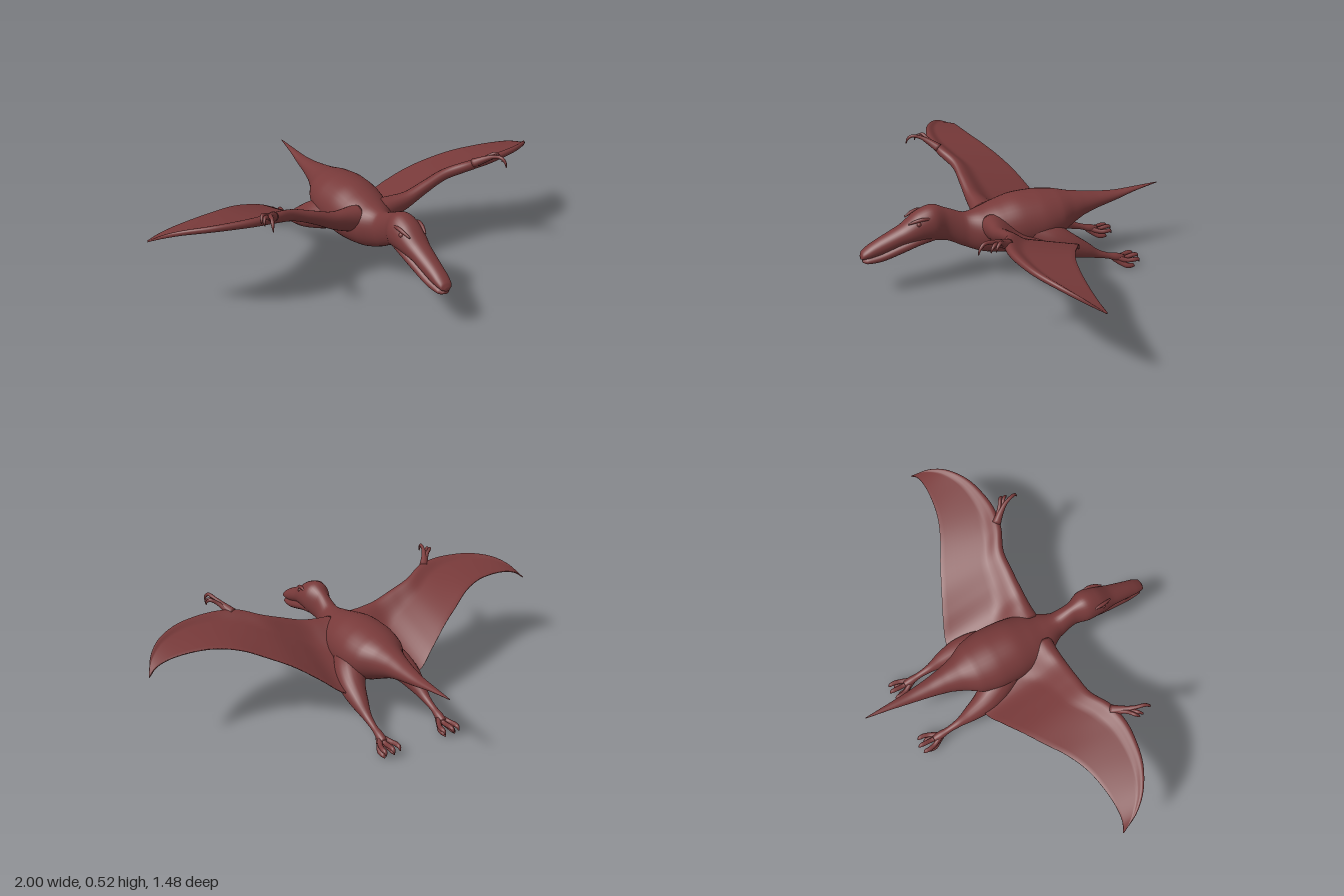
import * as THREE from 'three';

const hide = new THREE.MeshStandardMaterial({ color: 0x783a3a });
hide.name = 'russet hide';

const V = (x, y, z) => new THREE.Vector3(x, y, z);
const curve = (pts) => new THREE.CatmullRomCurve3(pts);

// Skin a closed surface over rings of points; side = -1 mirrors it in x.
function loft(name, rings, side = 1) {
  const n = rings[0].length, pos = [], idx = [];
  const put = (v) => pos.push(v.x * side, v.y, v.z);
  const tri = (a, b, c) => (side > 0 ? idx.push(a, b, c) : idx.push(a, c, b));
  rings.forEach((r) => r.forEach(put));
  for (let i = 0; i < rings.length - 1; i++) {
    for (let j = 0; j < n; j++) {
      const a = i * n + j, b = i * n + (j + 1) % n;
      tri(a, a + n, b);
      tri(b, a + n, b + n);
    }
  }
  const last = (rings.length - 1) * n, c0 = rings.length * n;
  for (const ring of [rings[0], rings[rings.length - 1]]) {
    put(ring.reduce((s, v) => s.add(v), V(0, 0, 0)).divideScalar(n));
  }
  for (let j = 0; j < n; j++) {
    const k = (j + 1) % n;
    tri(c0, j, k);
    tri(c0 + 1, last + k, last + j);
  }
  const g = new THREE.BufferGeometry();
  g.setAttribute('position', new THREE.Float32BufferAttribute(pos, 3));
  g.setIndex(idx);
  g.computeVertexNormals();
  const mesh = new THREE.Mesh(g, hide);
  mesh.name = name;
  return mesh;
}

// Oval cross-sections running front to back: [z, top, bottom, halfWidth]
function trunk(name, rows, steps, sides) {
  const centre = curve(rows.map(([z, t, b]) => V(0, (t + b) / 2, z)));
  const size = curve(rows.map(([, t, b, w]) => V(w, (t - b) / 2, 0)));
  const rings = [];
  for (let i = 0; i <= steps; i++) {
    const c = centre.getPoint(i / steps), s = size.getPoint(i / steps);
    rings.push(Array.from({ length: sides }, (_, j) => {
      const a = (j / sides) * Math.PI * 2;
      return V(Math.cos(a) * s.x, c.y + Math.sin(a) * s.y, c.z);
    }));
  }
  return loft(name, rings);
}

// Round limb of changing radius: [x, y, z, radius]
function limb(name, rows, side, steps = 24, sides = 14) {
  const path = curve(rows.map(([x, y, z]) => V(x, y, z)));
  const radius = curve(rows.map((r, i) => V(r[3], i * 0.01, 0)));
  const rings = [];
  for (let i = 0; i <= steps; i++) {
    const t = i / steps, c = path.getPoint(t), r = radius.getPoint(t).x;
    const dir = path.getTangent(t);
    const right = dir.clone().cross(V(0.3, 1, 0.05)).normalize();
    const up = right.clone().cross(dir);
    rings.push(Array.from({ length: sides }, (_, j) => {
      const a = (j / sides) * Math.PI * 2;
      return c.clone().addScaledVector(right, Math.cos(a) * r).addScaledVector(up, Math.sin(a) * r);
    }));
  }
  return loft(name, rings, side);
}

// Wing: thick arm along the leading edge thinning into a membrane
// [x, leadZ, leadY, trailZ, trailY, armRadius]
const WING = [
  [0.06, 0.19, 0.30, -0.20, 0.20, 0.07], [0.13, 0.185, 0.315, -0.235, 0.17, 0.058],
  [0.2, 0.185, 0.333, -0.24, 0.175, 0.045], [0.3, 0.185, 0.375, -0.2, 0.25, 0.034],
  [0.4, 0.19, 0.415, -0.15, 0.32, 0.029], [0.5, 0.232, 0.45, -0.1, 0.37, 0.026],
  [0.6, 0.248, 0.463, -0.045, 0.41, 0.021], [0.7, 0.238, 0.468, -0.005, 0.428, 0.017],
  [0.8, 0.21, 0.467, 0.015, 0.43, 0.014], [0.9, 0.15, 0.452, 0.022, 0.42, 0.011],
  [0.96, 0.085, 0.422, 0.016, 0.402, 0.008], [1.0, 0.005, 0.375, -0.002, 0.374, 0.002],
];

function wing(side) {
  const lead = curve(WING.map((w) => V(w[0], w[2], w[1])));
  const trail = curve(WING.map((w) => V(w[0], w[4], w[3])));
  const arm = curve(WING.map((w) => V(w[0], w[5], 0)));
  const steps = 66, m = 22, rings = [];
  for (let i = 0; i <= steps; i++) {
    const t = i / steps, a = lead.getPoint(t), b = trail.getPoint(t), r = arm.getPoint(t).y;
    const chord = a.distanceTo(b), upper = [], lower = [];
    for (let k = 0; k <= m; k++) {
      const u = Math.pow(k / m, 1.9), d = u * chord;
      const h = d < r ? Math.sqrt(r * r - (r - d) ** 2)
        : Math.max(0.003, r * Math.exp(-(((d - r) / (1.7 * r)) ** 2)));
      const p = a.clone().lerp(b, u);
      upper.push(V(p.x, p.y + h, p.z));
      if (k > 0) lower.unshift(V(p.x, p.y - h, p.z));
    }
    rings.push([...upper, ...lower]);
  }
  return loft('wing', rings, side);
}

export function createModel() {
  const model = new THREE.Group();
  model.name = 'flyingReptile';

  // Skull, neck, body and tail in one skin
  model.add(trunk('body', [
    [0.742, 0.222, 0.205, 0.012], [0.733, 0.24, 0.203, 0.028], [0.7, 0.265, 0.205, 0.037],
    [0.65, 0.292, 0.213, 0.042], [0.55, 0.34, 0.245, 0.052], [0.47, 0.398, 0.25, 0.068],
    [0.4, 0.418, 0.245, 0.07], [0.33, 0.39, 0.225, 0.047], [0.25, 0.355, 0.18, 0.058],
    [0.18, 0.362, 0.15, 0.1], [0.1, 0.383, 0.135, 0.13], [0, 0.405, 0.127, 0.145],
    [-0.1, 0.405, 0.14, 0.148], [-0.2, 0.392, 0.17, 0.128], [-0.27, 0.375, 0.208, 0.088],
    [-0.34, 0.362, 0.244, 0.062], [-0.42, 0.349, 0.27, 0.045], [-0.52, 0.341, 0.294, 0.029],
    [-0.62, 0.344, 0.322, 0.016], [-0.742, 0.35, 0.346, 0.002],
  ], 114, 36));

  // Lower jaw, leaving a mouth seam below the skull
  model.add(trunk('lowerJaw', [
    [0.734, 0.2, 0.188, 0.014], [0.715, 0.213, 0.179, 0.032], [0.65, 0.232, 0.18, 0.042],
    [0.55, 0.272, 0.208, 0.051], [0.47, 0.3, 0.234, 0.056], [0.4, 0.31, 0.246, 0.05],
    [0.36, 0.3, 0.262, 0.03],
  ], 42, 24));

  for (const side of [1, -1]) {
    const half = new THREE.Group();
    half.name = side > 0 ? 'leftSide' : 'rightSide';

    half.add(wing(side));

    // Clawed fingers at the wrist
    half.add(limb('longFinger', [
      [0.525, 0.46, 0.22, 0.022], [0.555, 0.49, 0.262, 0.014], [0.575, 0.51, 0.3, 0.009],
      [0.588, 0.517, 0.342, 0.008], [0.596, 0.5, 0.362, 0.006], [0.598, 0.477, 0.37, 0.002]], side));
    half.add(limb('middleFinger', [
      [0.54, 0.465, 0.235, 0.016], [0.575, 0.5, 0.265, 0.009], [0.603, 0.515, 0.283, 0.008],
      [0.615, 0.502, 0.298, 0.005], [0.617, 0.488, 0.302, 0.002]], side));
    half.add(limb('shortFinger', [
      [0.54, 0.465, 0.235, 0.016], [0.572, 0.495, 0.28, 0.009], [0.6, 0.512, 0.302, 0.008],
      [0.612, 0.5, 0.318, 0.005], [0.612, 0.485, 0.322, 0.002]], side));

    // Leg from thigh to ankle
    half.add(limb('leg', [
      [0.075, 0.235, -0.06, 0.075], [0.115, 0.205, -0.14, 0.072], [0.142, 0.172, -0.21, 0.059],
      [0.153, 0.135, -0.29, 0.04], [0.156, 0.1, -0.36, 0.021], [0.157, 0.078, -0.42, 0.015],
      [0.157, 0.063, -0.465, 0.019], [0.157, 0.052, -0.5, 0.016]], side, 40, 20));

    // Trailing toes, spread and curled down
    for (const [x, y, z] of [[0.118, 0.045, -0.572], [0.155, 0.05, -0.584], [0.19, 0.045, -0.575]]) {
      const mid = (0.157 + x) / 2;
      half.add(limb('toe', [
        [0.157, 0.06, -0.465, 0.014], [mid + (x - mid) * 0.5, 0.048, -0.51, 0.011],
        [x, y + 0.004, z + 0.03, 0.011], [x, y + 0.003, z + 0.01, 0.009], [x, y - 0.012, z, 0.002]], side, 18, 10));
    }
    // Lower toes beneath the foot
    for (const x of [0.135, 0.185]) {
      half.add(limb('lowerToe', [
        [0.157, 0.055, -0.455, 0.014], [(x + 0.157) / 2, 0.033, -0.485, 0.013],
        [x, 0.018, -0.515, 0.013], [x, 0.015, -0.54, 0.011], [x, 0.008, -0.553, 0.003]], side, 18, 10));
    }

    // Eye beneath a low brow ridge
    const eye = new THREE.Mesh(new THREE.SphereGeometry(0.011, 16, 12), hide);
    eye.name = 'eye';
    eye.position.set(side * 0.053, 0.358, 0.475);
    half.add(eye);
    half.add(limb('brow', [
      [0.04, 0.36, 0.52, 0.004], [0.05, 0.374, 0.485, 0.008], [0.055, 0.38, 0.45, 0.008],
      [0.054, 0.375, 0.415, 0.003]], side, 16, 10));

    model.add(half);
  }
  return model;
}
